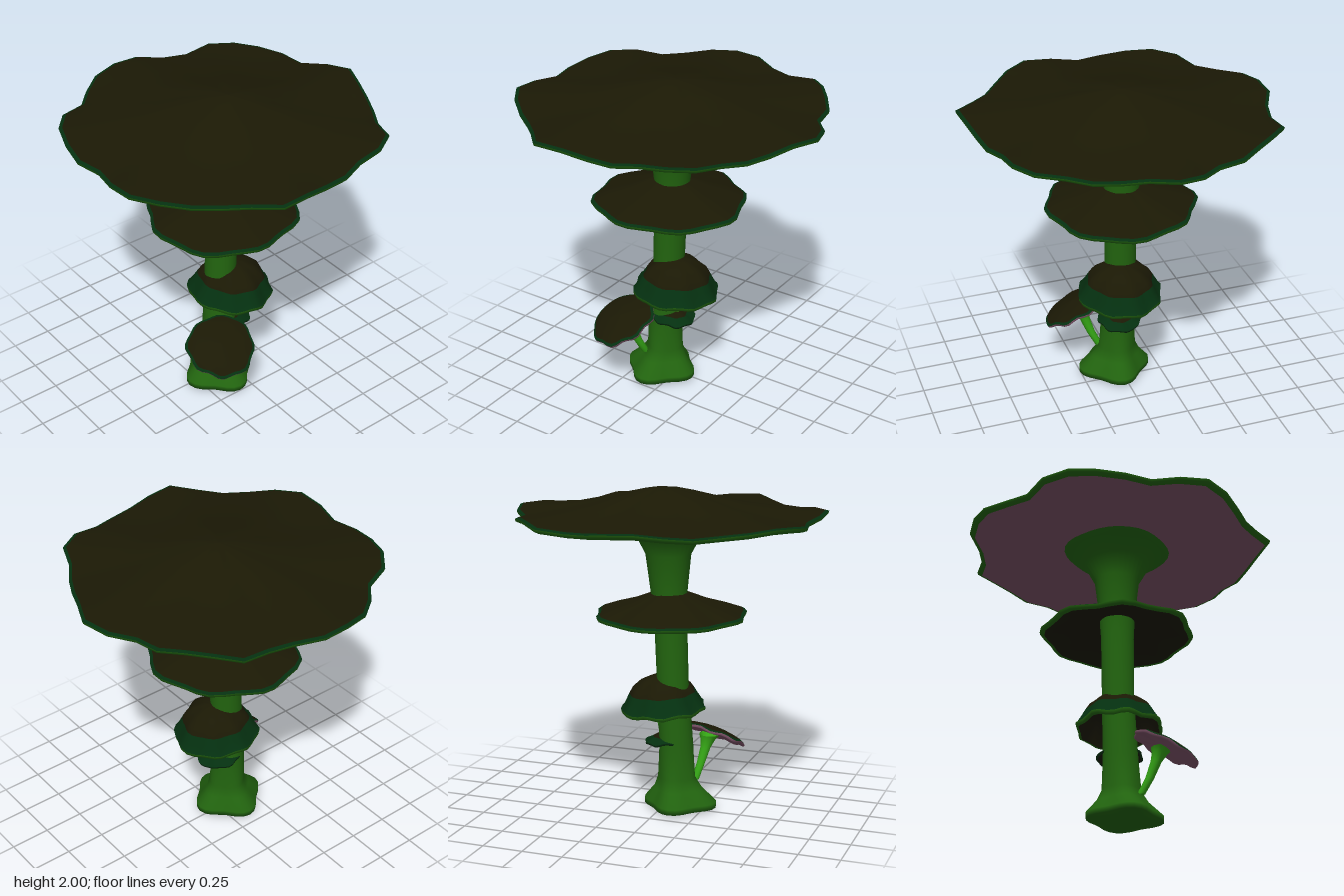
import * as THREE from 'three';

const material = (name, color) => {
  const m = new THREE.MeshStandardMaterial({ color, side: THREE.DoubleSide });
  m.name = name;
  return m;
};

// Closed rings joined top to bottom; each row is a function of angle giving [x, y, z].
// mats[i] is the material index of the strip between row i and row i + 1.
function loft(rows, seg, mats) {
  const pos = [], index = [], geo = new THREE.BufferGeometry();
  rows.forEach(row => {
    for (let j = 0; j < seg; j++) pos.push(...row((j / seg) * Math.PI * 2, j));
  });
  for (let i = 0; i < rows.length - 1; i++) {
    geo.addGroup(index.length, seg * 6, mats ? mats[i] : 0);
    for (let j = 0; j < seg; j++) {
      const k = (j + 1) % seg, a = i * seg + j, b = i * seg + k, c = a + seg, d = b + seg;
      index.push(a, b, c, b, d, c);
    }
  }
  geo.setAttribute('position', new THREE.Float32BufferAttribute(pos, 3));
  geo.setIndex(index);
  geo.computeVertexNormals();
  return geo;
}

function addMesh(parent, name, geo, mat) {
  const mesh = new THREE.Mesh(geo, mat);
  mesh.name = name;
  parent.add(mesh);
}

// Mushroom cap: rows are [fraction of the rim radius, height].
function makeCap(name, { top, rim, under, outline, wave, edgeStrips, skinMats, rimMat, underMat }) {
  const cap = new THREE.Group();
  cap.name = name;
  const seg = 36;
  const toRows = list => list.map(([t, y]) => (a, j) => {
    const r = t * outline(a, j);
    return [r * Math.cos(a), y + wave(a) * t ** 4, r * Math.sin(a)];
  });
  const mats = top.map((_, i) => (i < top.length - 1 - edgeStrips ? 0 : 1));
  addMesh(cap, name + 'Skin', loft(toRows(top), seg, mats), skinMats);
  addMesh(cap, name + 'Rim', loft(toRows(rim), seg), rimMat);
  addMesh(cap, name + 'Underside', loft(toRows(under), seg), underMat);
  return cap;
}

// Scalloped outline for the smaller caps
const ruffle = (radius, phase) => a =>
  radius * (1 + 0.035 * Math.sin(8 * a + phase) + 0.025 * Math.sin(3 * a + phase));

// Stem: rows are [y, radius, x, z, depth of the four corners]
function stemGeometry(rows, seg) {
  return loft(rows.map(([y, r, x, z, depth = 0]) => a => {
    const q = r * (1 + depth * Math.cos(4 * a));
    return [x + q * Math.cos(a), y, z + q * Math.sin(a)];
  }), seg);
}

export function createModel() {
  const model = new THREE.Group();
  model.name = 'mushroomCluster';

  const brown = material('capBrown', 0x1b1905);
  const darkGreen = material('edgeDarkGreen', 0x053010);
  const green = material('stemGreen', 0x22640f);
  const bright = material('youngStemGreen', 0x35a516);
  const purple = material('gillPurple', 0x7e5369);
  const skinMats = [brown, darkGreen];

  // Main stem with four-cornered foot and trumpet top
  addMesh(model, 'mainStem', stemGeometry([
    [1.83, 0.335, -0.03, 0, 0.03], [1.79, 0.295, -0.03, 0, 0.03], [1.72, 0.2, -0.03, 0, 0.02],
    [1.6, 0.138, -0.03, 0], [1.36, 0.11, -0.035, 0], [1.2, 0.1, -0.045, 0],
    [0.8, 0.097, -0.06, 0], [0.4, 0.105, -0.08, 0.01], [0.2, 0.113, -0.08, 0.015, 0.04],
    [0.13, 0.142, -0.09, 0.02, 0.09], [0.05, 0.208, -0.1, 0.03, 0.11],
    [0.015, 0.208, -0.1, 0.03, 0.11], [0.01, 0.1, -0.1, 0.03], [0, 0.001, -0.1, 0.03],
  ], 32), green);

  // Great cap: rim radius every ten degrees, from +x towards +z
  const rimRadii = [
    0.94, 0.885, 0.865, 0.86, 0.862, 0.93, 0.92, 0.865, 0.875, 0.88, 0.915, 0.975,
    0.91, 0.89, 0.915, 0.955, 0.985, 0.945, 0.895, 0.94, 0.955, 0.97, 0.955, 0.88,
    0.915, 0.95, 0.945, 0.93, 0.865, 0.863, 0.938, 0.912, 0.89, 0.885, 0.84, 0.905,
  ];
  model.add(makeCap('greatCap', {
    top: [[0, 2], [0.12, 1.988], [0.3, 1.95], [0.5, 1.9], [0.7, 1.87], [0.9, 1.85], [0.978, 1.846], [1, 1.838]],
    rim: [[1, 1.838], [0.995, 1.822], [0.965, 1.81]],
    under: [[0.965, 1.81], [0.8, 1.812], [0.5, 1.815], [0.2, 1.82]],
    outline: (a, j) => rimRadii[j],
    wave: a => 0.018 * Math.sin(7 * a + 1),
    edgeStrips: 1, skinMats, rimMat: green, underMat: purple,
  }));

  // Middle cap, a shallow collar round the stem
  const middle = makeCap('middleCap', {
    top: [[0, 1.37], [0.22, 1.365], [0.5, 1.312], [0.75, 1.277], [0.96, 1.24], [1, 1.23]],
    rim: [[1, 1.23], [0.99, 1.212], [0.94, 1.21]],
    under: [[0.94, 1.21], [0.75, 1.25], [0.5, 1.285], [0.18, 1.32]],
    outline: ruffle(0.457, 0.6),
    wave: a => 0.003 * Math.sin(8 * a),
    edgeStrips: 1, skinMats, rimMat: green, underMat: brown,
  });
  middle.position.x = -0.045;
  model.add(middle);

  // Domed cap leaning out from the stem
  const dome = makeCap('domeCap', {
    top: [[0, 0.215], [0.25, 0.208], [0.5, 0.18], [0.7, 0.135], [0.78, 0.1], [0.86, 0.06], [0.95, 0.018], [1, 0.005]],
    rim: [[1, 0.005], [0.99, -0.015], [0.93, -0.018]],
    under: [[0.93, -0.018], [0.82, 0.04], [0.65, 0.11], [0.4, 0.15], [0, 0.17]],
    outline: ruffle(0.26, 2),
    wave: a => 0.009 * Math.sin(8 * a + 1),
    edgeStrips: 3, skinMats, rimMat: green, underMat: brown,
  });
  dome.position.set(0.005, 0.63, 0.02);
  dome.rotation.z = -0.07;
  model.add(dome);

  // Little cap beneath the dome
  const little = makeCap('littleCap', {
    top: [[0, 0.05], [0.3, 0.045], [0.6, 0.026], [0.85, 0.008], [1, 0]],
    rim: [[1, 0], [0.98, -0.012], [0.92, -0.012]],
    under: [[0.92, -0.012], [0.6, 0], [0, 0.015]],
    outline: ruffle(0.137, 1),
    wave: a => 0.006 * Math.sin(6 * a),
    edgeStrips: 2, skinMats, rimMat: darkGreen, underMat: brown,
  });
  little.position.set(-0.015, 0.432, 0.02);
  little.rotation.z = -0.12;
  model.add(little);

  // Tilted cap at the front
  const tilted = makeCap('tiltedCap', {
    top: [[0, 0.035], [0.35, 0.03], [0.7, 0.017], [0.93, 0.002], [1, -0.008]],
    rim: [[1, -0.008], [0.99, -0.02], [0.95, -0.022]],
    under: [[0.95, -0.022], [0.6, -0.018], [0, -0.015]],
    outline: ruffle(0.208, 3),
    wave: a => 0.007 * Math.sin(8 * a),
    edgeStrips: 1, skinMats, rimMat: purple, underMat: purple,
  });
  tilted.position.set(-0.245, 0.438, 0.245);
  tilted.quaternion.setFromUnitVectors(
    new THREE.Vector3(0, 1, 0), new THREE.Vector3(-0.24, 1, 0.46).normalize());
  model.add(tilted);

  // Slender young stems
  addMesh(model, 'tiltedStem', stemGeometry([
    [0.43, 0.07, -0.23, 0.225], [0.4, 0.048, -0.22, 0.21], [0.35, 0.033, -0.21, 0.19],
    [0.25, 0.026, -0.19, 0.155], [0.16, 0.024, -0.17, 0.11], [0.155, 0.001, -0.17, 0.11],
  ], 12), bright);
  addMesh(model, 'domeStem', stemGeometry([
    [0.74, 0.08, 0.03, 0.02], [0.66, 0.05, 0.03, 0.02], [0.6, 0.035, 0.025, 0.02],
    [0.5, 0.023, 0.015, 0.02], [0.4, 0.022, 0, 0.02],
  ], 12), bright);

  return model;
}
